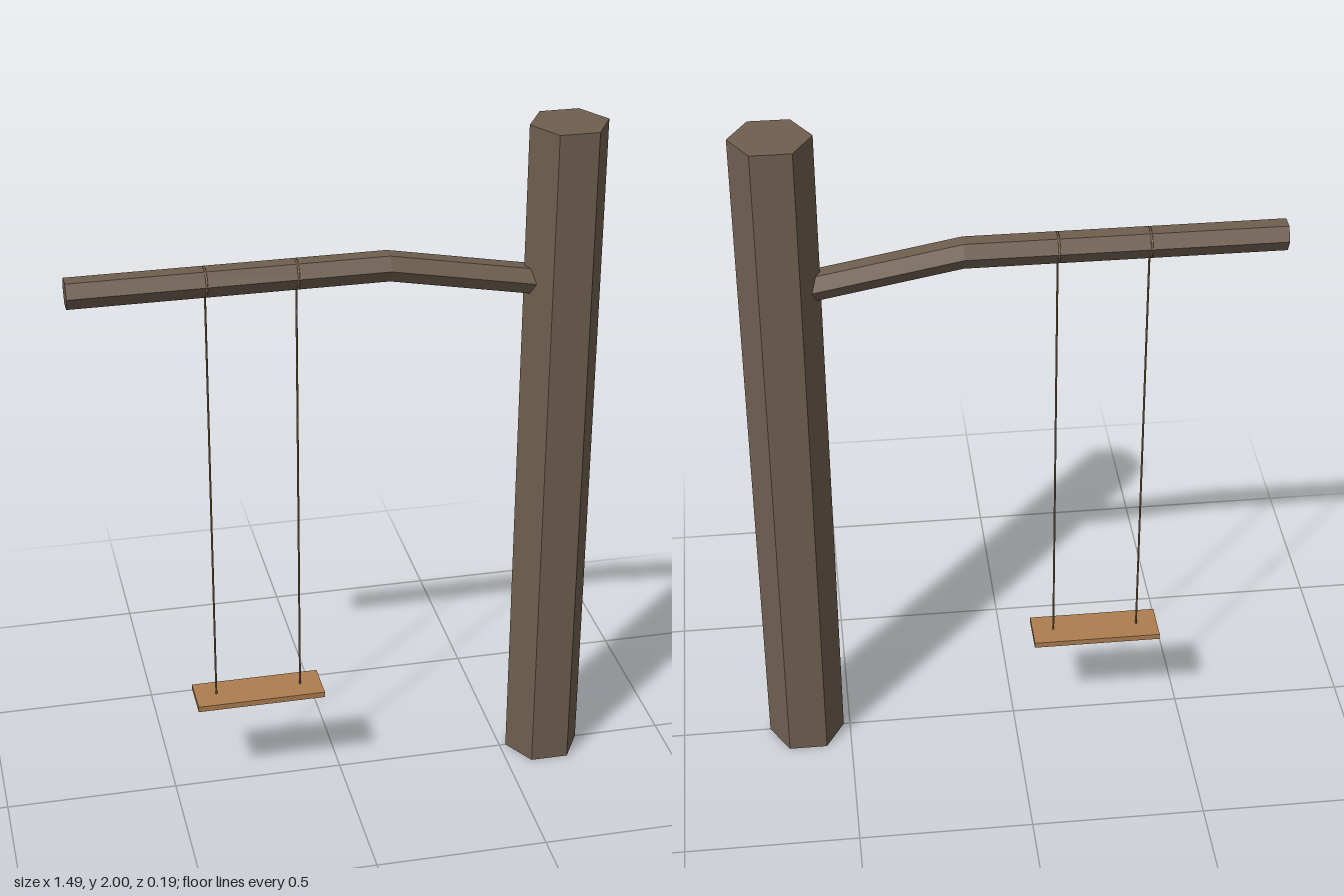
import * as THREE from 'three';

export function createModel() {
  const model = new THREE.Group();
  const bark = new THREE.MeshStandardMaterial({ color: 0x6f5f50 });
  bark.name = 'bark';
  const plank = new THREE.MeshStandardMaterial({ color: 0xad7d50 });
  plank.name = 'plank';
  const cord = new THREE.MeshStandardMaterial({ color: 0x8a7256 });
  cord.name = 'cord';

  // Faceted normals for the low-poly parts
  const facet = (geometry) => {
    const flat = geometry.toNonIndexed();
    flat.computeVertexNormals();
    return flat;
  };
  const add = (name, geometry, material, x, y, z = 0, parent = model) => {
    const mesh = new THREE.Mesh(geometry, material);
    mesh.name = name;
    mesh.position.set(x, y, z);
    parent.add(mesh);
    return mesh;
  };

  // Six-sided trunk with corners along x
  const trunk = new THREE.CylinderGeometry(0.111, 0.111, 2, 6);
  trunk.rotateY(Math.PI / 6);
  add('trunk', facet(trunk), bark, 0.63, 1);

  // Six-sided branch: level at the tip, bending down into the trunk
  const path = [[-0.745, 1.627], [0.135, 1.627], [0.6, 1.541]];
  const branch = new THREE.CylinderGeometry(0.043, 0.043, 2, 6, 2);
  branch.rotateZ(Math.PI / 2);
  const p = branch.attributes.position;
  for (let i = 0; i < p.count; i++) {
    const [x, y] = path[Math.round(p.getX(i)) + 1];
    p.setXY(i, x, y + p.getY(i));
  }
  add('branch', facet(branch), bark, 0, 0);

  // Swing: plank seat, two ropes and their loops round the branch
  const swing = new THREE.Group();
  swing.name = 'swing';
  model.add(swing);
  add('seat', new THREE.BoxGeometry(0.375, 0.017, 0.122), plank, -0.245, 0.303, 0, swing);
  const bottom = 0.3, top = 1.6;
  for (const x of [-0.37, -0.12]) {
    add('rope', facet(new THREE.CylinderGeometry(0.003, 0.003, top - bottom, 6)), cord, x, (top + bottom) / 2, 0, swing);
    const loop = new THREE.TorusGeometry(0.0395, 0.003, 6, 24);
    loop.rotateY(Math.PI / 2);
    add('ropeLoop', loop, cord, x, 1.627, 0, swing);
  }
  return model;
}
